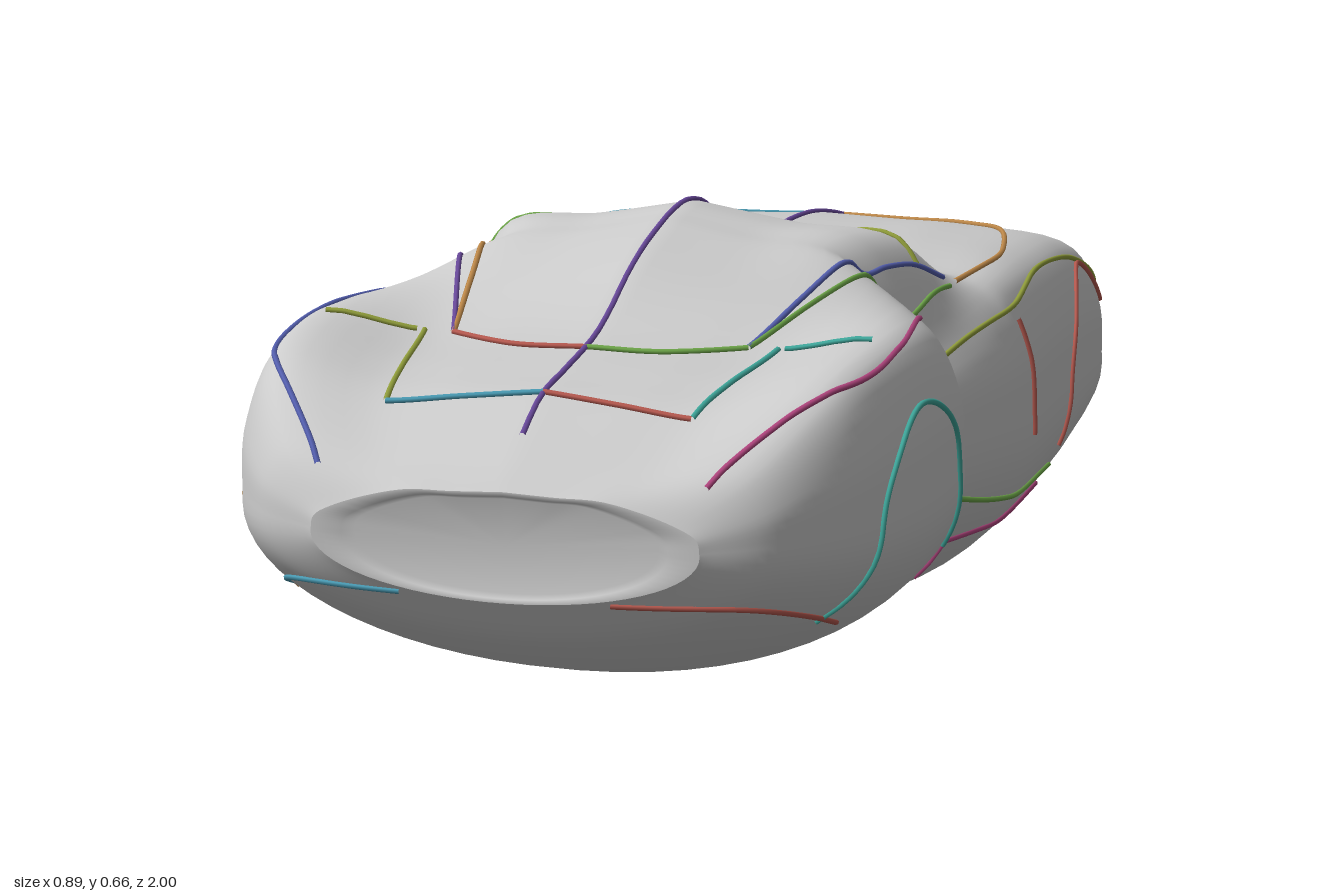
import * as THREE from 'three';

// Body stations: z, half width, bottom, crest height, inner roof height, centre top
const STATIONS = [
  [1, 0.25, 0.29, 0.4, 0.425, 0.43],
  [0.95, 0.335, 0.23, 0.455, 0.455, 0.465],
  [0.85, 0.4, 0.175, 0.52, 0.505, 0.515],
  [0.75, 0.428, 0.14, 0.55, 0.525, 0.53],
  [0.6, 0.444, 0.1, 0.56, 0.54, 0.555],
  [0.45, 0.442, 0.085, 0.55, 0.575, 0.615],
  [0.33, 0.425, 0.075, 0.525, 0.605, 0.645],
  [0.27, 0.368, 0.068, 0.485, 0.612, 0.655],
  [0.2, 0.378, 0.06, 0.47, 0.615, 0.66],
  [0.1, 0.403, 0.045, 0.485, 0.6, 0.64],
  [0, 0.428, 0.027, 0.505, 0.55, 0.58],
  [-0.08, 0.438, 0.013, 0.515, 0.53, 0.54],
  [-0.3, 0.43, 0, 0.505, 0.535, 0.542],
  [-0.5, 0.428, 0.025, 0.495, 0.522, 0.53],
  [-0.7, 0.418, 0.085, 0.46, 0.482, 0.492],
  [-0.85, 0.385, 0.14, 0.42, 0.435, 0.445],
  [-1, 0.32, 0.17, 0.345, 0.36, 0.365],
];
const LOWER = 16, UPPER = 28;

// Smooth interpolation of all station columns; t runs from 0 to 1
function station(t) {
  const f = t * (STATIONS.length - 1);
  const i = Math.min(Math.floor(f), STATIONS.length - 2), u = f - i;
  const at = k => STATIONS[THREE.MathUtils.clamp(k, 0, STATIONS.length - 1)];
  return STATIONS[0].map((_, c) => {
    const p1 = at(i)[c], p2 = at(i + 1)[c], d = p2 - p1;
    const m1 = (p2 - at(i - 1)[c]) / 2, m2 = (at(i + 2)[c] - p1) / 2;
    return p1 + u * (m1 + u * (3 * d - 2 * m1 - m2 + u * (m1 + m2 - 2 * d)));
  });
}

// The rounded end sweeps back towards the sides
function bend(x, z) {
  const f = Math.max(0, (-0.6 - z) / 0.4);
  return z + 1.3 * f * f * x * x;
}

// Half section from bottom centre, round the side, to top centre
function halfSection([z, w, bottom, crest, inner, top]) {
  const mid = 0.315 + 0.05 * z;
  const crestX = 0.88 * w;
  const innerX = 0.6 * crestX + 0.07 * Math.exp(-(((z - 0.1) / 0.25) ** 2));
  const pts = [];
  for (let i = 0; i < LOWER; i++) {
    const a = (i / LOWER) * Math.PI / 2;
    pts.push([w * Math.sin(a), mid - (mid - bottom) * Math.cos(a)]);
  }
  const curve = new THREE.CatmullRomCurve3([
    [w, mid], [w * 0.985, mid + 0.55 * (crest - mid)], [crestX, crest], [innerX, inner],
    [innerX / 2, inner + 0.45 * (top - inner)], [0, top],
  ].map(([x, y]) => new THREE.Vector3(x, y, 0)));
  curve.getPoints(UPPER).forEach(p => pts.push([p.x, p.y]));
  return pts;
}

// Full closed ring, mirrored across x
function ring(s) {
  const half = halfSection(s);
  const mirrored = half.slice(1, -1).reverse().map(([x, y]) => [-x, y]);
  return [...half, ...mirrored].map(([x, y]) => new THREE.Vector3(x, y, s[0]));
}

// Ring shrunk about a height and moved along z
const shrink = (r, kx, ky, cy, z) =>
  r.map(p => new THREE.Vector3(p.x * kx, cy + (p.y - cy) * ky, z));

function loft(rings, material, name) {
  const n = rings[0].length, pos = [], index = [];
  rings.forEach(r => r.forEach(p => pos.push(p.x, p.y, bend(p.x, p.z))));
  for (let i = 0; i < rings.length - 1; i++) {
    for (let j = 0; j < n; j++) {
      const a = i * n + j, b = i * n + (j + 1) % n;
      index.push(a, a + n, b, b, a + n, b + n);
    }
  }
  const g = new THREE.BufferGeometry();
  g.setAttribute('position', new THREE.Float32BufferAttribute(pos, 3));
  g.setIndex(index);
  g.computeVertexNormals();
  const mesh = new THREE.Mesh(g, material);
  mesh.name = name;
  return mesh;
}

// Half section at a given z, found by bisection
function sectionAt(z) {
  let lo = 0, hi = 1;
  for (let k = 0; k < 24; k++) {
    const m = (lo + hi) / 2;
    if (station(m)[0] > z) lo = m; else hi = m;
  }
  return halfSection(station(lo));
}

// Project (x, z) onto the top of the body
function onTop(x, z) {
  const s = sectionAt(z).reverse();
  const i = Math.max(1, s.findIndex(p => p[0] >= x));
  const [p, q] = [s[i - 1], s[i]];
  const y = THREE.MathUtils.mapLinear(x, p[0], q[0], p[1], q[1]);
  return new THREE.Vector3(x, y + 0.002, bend(x, z));
}

// Project (y, z) onto the side of the body
function onSide(y, z) {
  const s = sectionAt(z);
  const i = Math.max(1, s.findIndex(p => p[1] >= y));
  const [p, q] = [s[i - 1], s[i]];
  const x = THREE.MathUtils.mapLinear(y, p[1], q[1], p[0], q[0]) + 0.002;
  return new THREE.Vector3(x, y, bend(x, z));
}

export function createModel() {
  const group = new THREE.Group();
  const grey = new THREE.MeshStandardMaterial({ color: 0xcccccc, side: THREE.DoubleSide });

  // Body shell
  const rings = Array.from({ length: 129 }, (_, i) => ring(station(i / 128)));
  group.add(loft(rings, grey, 'body'));

  // Panel with a shallow step at the +z end
  const first = rings[0];
  group.add(loft([
    shrink(first, 0, 0, 0.36, 0.99), shrink(first, 0.78, 0.85, 0.36, 0.99),
    shrink(first, 0.84, 0.92, 0.36, 1), first,
  ], grey, 'endPanel'));

  // Wide open mouth at the -z end
  const last = rings[rings.length - 1];
  group.add(loft([
    last, shrink(last, 0.8, 0.72, 0.26, -0.995), shrink(last, 0.72, 0.55, 0.26, -0.97),
    shrink(last, 0.66, 0.45, 0.26, -0.87), shrink(last, 0, 0, 0.26, -0.86),
  ], grey, 'mouth'));

  // Coloured feature lines on the surface, one colour for each side
  const addLine = (name, project, pts, ...colors) => {
    const plan = new THREE.CatmullRomCurve3(pts.map(([a, z]) => new THREE.Vector3(a, 0, z)));
    const points = plan.getPoints(28).map(p => project(p.x, p.z));
    colors.forEach((color, i) => {
      const path = new THREE.CatmullRomCurve3(
        points.map(p => new THREE.Vector3(i ? -p.x : p.x, p.y, p.z)));
      const mesh = new THREE.Mesh(new THREE.TubeGeometry(path, 56, 0.004, 6),
        new THREE.MeshStandardMaterial({ color }));
      mesh.name = name;
      group.add(mesh);
    });
  };
  const purple = 0x6a4a9c, blue = 0x5560b0, teal = 0x3fa89c, olive = 0x93a03c,
    orange = 0xc08a4a, red = 0xb85a50, green = 0x6fa84a, pink = 0xb0457e, cyan = 0x4a9cb5;

  // Canopy, bonnet and deck
  addLine('centreLine', onTop, [[0, 0.92], [0, -0.85]], purple);
  addLine('windowTopLine', onTop, [[0.33, 0.05], [0.265, 0.28], [0.2, 0.6]], blue, orange);
  addLine('windowBaseLine', onTop, [[0.34, 0.05], [0.305, 0.25], [0.2, 0.6]], green, purple);
  addLine('bonnetArc', onTop, [[0.34, 0.02], [0.34, -0.3], [0.25, -0.56], [0, -0.685]], orange, cyan);
  addLine('screenTopArc', onTop, [[0.31, 0.12], [0.16, 0.07], [0, 0.06]], olive, green);
  addLine('screenBaseArc', onTop, [[0.28, -0.03], [0.16, -0.09], [0, -0.11]], green, green);
  addLine('canopyEndArc', onTop, [[0.2, 0.6], [0.1, 0.65], [0, 0.66]], green, red);
  addLine('deckEdgeLine', onTop, [[0.24, 0.6], [0.2, 0.86]], teal, olive);
  addLine('deckArc', onTop, [[0.2, 0.86], [0, 0.835]], red, cyan);
  addLine('fenderCrestLine', onTop, [[0.37, 0.36], [0.4, 0.6], [0.38, 0.78], [0.25, 0.97]], pink, blue);
  addLine('fenderCrossLine', onTop, [[0.25, 0.6], [0.37, 0.62]], teal, olive);

  // Sides
  addLine('shoulderLine', onSide, [[0.43, 0.28], [0.49, -0.08], [0.48, -0.5], [0.38, -0.82]], olive, olive);
  addLine('wheelArchLine', onSide, [[0.24, 0.8], [0.41, 0.76], [0.485, 0.62], [0.42, 0.46], [0.25, 0.41]], teal, orange);
  addLine('farWheelArchLine', onSide, [[0.22, -0.36], [0.38, -0.41], [0.46, -0.56], [0.38, -0.72]], red, purple);
  addLine('fenderEdgeLine', onSide, [[0.2, 0.4], [0.27, 0.31], [0.46, 0.31]], pink, olive);
  addLine('upperSillLine', onSide, [[0.29, 0.3], [0.22, 0], [0.19, -0.36]], green, olive);
  addLine('lowerSillLine', onSide, [[0.18, 0.22], [0.16, -0.36]], pink, red);
  addLine('doorLine', onSide, [[0.47, -0.05], [0.3, -0.07]], red, orange);
  addLine('endPanelLine', onSide, [[0.295, 0.995], [0.29, 0.95], [0.22, 0.72]], red, cyan);

  return group;
}
